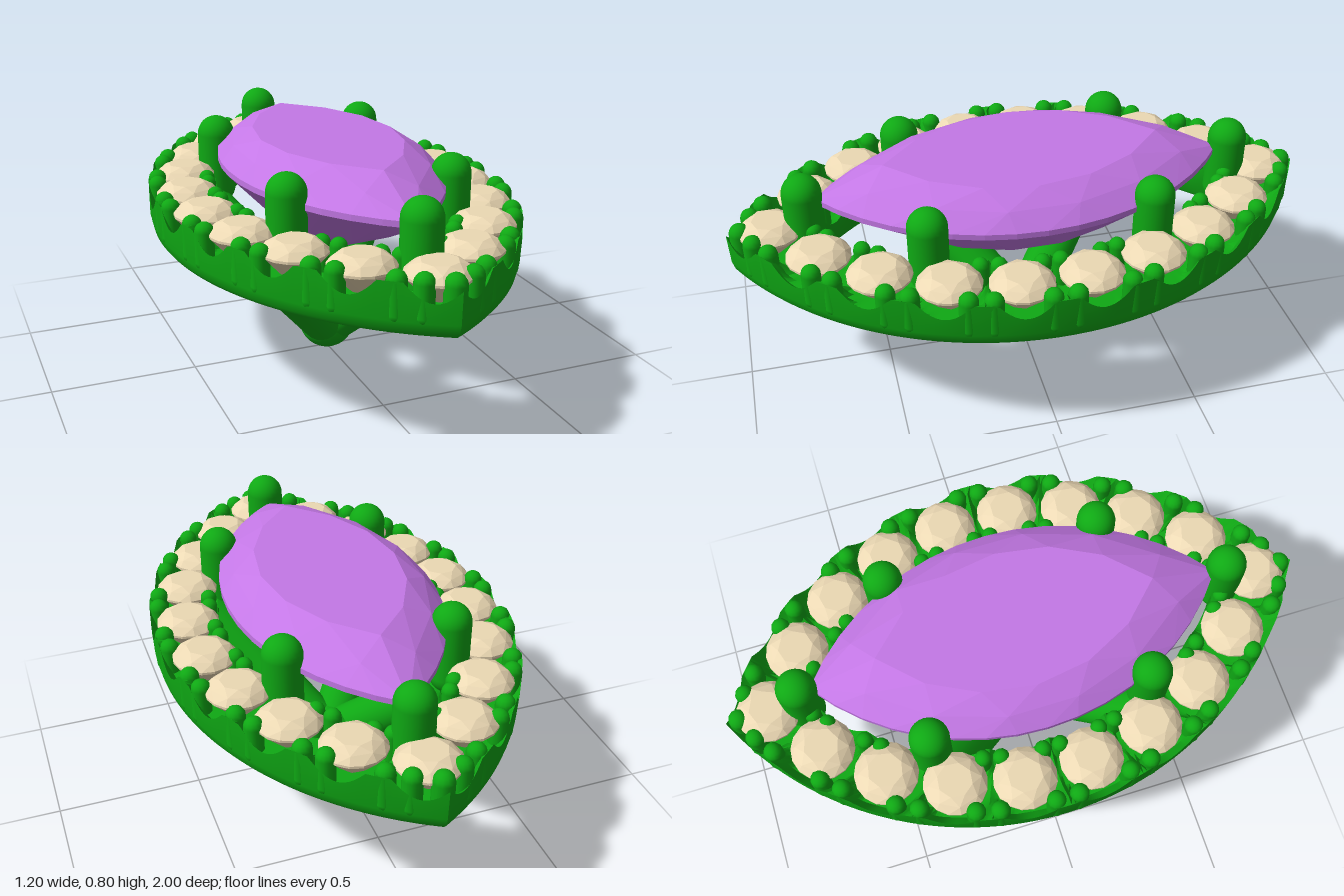
import * as THREE from 'three';
import { toCreasedNormals } from 'three/addons/utils/BufferGeometryUtils.js';
import { ConvexGeometry } from 'three/addons/geometries/ConvexGeometry.js';

const green = new THREE.MeshStandardMaterial({ color: 0x0fa914 });
const violet = new THREE.MeshStandardMaterial({ color: 0xc478e6, flatShading: true });
const cream = new THREE.MeshStandardMaterial({ color: 0xecd9b4, flatShading: true });

// Halo: concentric arcs on both sides, meeting in points at +z and -z
const C = 0.533, OUTER = 1.133, INNER = 0.898, MID = 1.008;

// Point on a marquise outline made of two arcs; u runs once around
function marquise(R, c, u) {
  u = ((u % 1) + 1) % 1;
  const s = u < 0.5 ? 1 : -1;
  const a = ((u % 0.5) * 4 - 1) * Math.acos(c / R);
  return [s * (R * Math.cos(a) - c), s * R * Math.sin(a)];
}

const STONES = 18;
const stoneSpots = Array.from({ length: STONES }, (_, i) => marquise(MID, C, i / STONES));

// Top of the halo, scooped out around each stone
function topHeight(x, z) {
  const d = Math.min(...stoneSpots.map(([sx, sz]) => Math.hypot(x - sx, z - sz)));
  return Math.min(0.62, 0.53 + Math.max(0, d - 0.11) * 2.2);
}

function haloGeometry() {
  // [arc radius, height]; null height follows the scooped top
  const section = [[0.905, 0.45], [1.095, 0.45], [1.112, 0.456], [1.123, 0.47], [1.13, 0.5], [OUTER, null]];
  for (let k = 1; k <= 8; k++) section.push([OUTER + (INNER - OUTER) * k / 8, null]);
  section.push([INNER, 0.46], [0.905, 0.45]);
  const n = 324, m = section.length, pos = [], idx = [];
  for (let i = 0; i <= n; i++) {
    for (const [R, y] of section) {
      const [x, z] = marquise(R, C, i / n);
      pos.push(x, y ?? topHeight(x, z), z);
    }
  }
  for (let i = 0; i < n; i++) {
    for (let j = 0; j < m - 1; j++) {
      const a = i * m + j, b = a + 1, c = a + m, d = c + 1;
      idx.push(a, b, c, b, d, c);
    }
  }
  const g = new THREE.BufferGeometry();
  g.setAttribute('position', new THREE.Float32BufferAttribute(pos, 3));
  g.setIndex(idx);
  return toCreasedNormals(g, 0.7);
}

// Faceted gem: hull of rings [scale, height, count, turn] plus a culet
function gemGeometry(outline, rings, culet) {
  const pts = [new THREE.Vector3(0, culet, 0)];
  for (const [s, y, n, turn] of rings) {
    for (let i = 0; i < n; i++) {
      const [x, z] = outline((i + turn) / n);
      pts.push(new THREE.Vector3(x * s, y, z * s));
    }
  }
  return new ConvexGeometry(pts);
}

// Round-ended post standing from y0 to y1
function post(name, x, z, r, y0, y1, segs) {
  const g = new THREE.CapsuleGeometry(r, y1 - y0 - 2 * r, Math.ceil(segs / 3), segs);
  const mesh = new THREE.Mesh(g, green);
  mesh.name = name;
  mesh.position.set(x, (y0 + y1) / 2, z);
  return mesh;
}

export function createModel() {
  const model = new THREE.Group();
  model.name = 'pendantSetting';
  const add = (name, geometry, material, parent = model) => {
    const mesh = new THREE.Mesh(geometry, material);
    mesh.name = name;
    parent.add(mesh);
    return mesh;
  };
  const group = (name) => {
    const g = new THREE.Group();
    g.name = name;
    model.add(g);
    return g;
  };

  add('halo', haloGeometry(), green);

  // Centre stone
  add('centreStone', gemGeometry((u) => marquise(0.868, 0.513, u), [
    [0.67, 0.8, 12, 0], [0.87, 0.757, 12, 0.5], [1, 0.705, 32, 0],
    [1, 0.685, 32, 0], [0.62, 0.54, 12, 0.5], [0.22, 0.44, 8, 0],
  ], 0.405), violet);

  // Small round stones along the halo
  const stones = group('haloStones');
  const circle = (u) => [0.106 * Math.cos(u * Math.PI * 2), 0.106 * Math.sin(u * Math.PI * 2)];
  const stoneGeo = gemGeometry(circle, [
    [0.55, 0.647, 8, 0], [0.83, 0.632, 8, 0.5], [1, 0.61, 16, 0], [1, 0.602, 16, 0], [0.5, 0.545, 8, 0.5],
  ], 0.5);
  stoneSpots.forEach(([x, z], i) => {
    const stone = add('haloStone', stoneGeo, cream, stones);
    stone.position.set(x, 0, z);
    stone.rotation.y = i * 0.7;
  });

  // Pairs of bead prongs between the stones, on both rims
  const beads = group('beadProngs');
  for (let i = 0; i < STONES; i++) {
    for (const [R, r] of [[OUTER - 0.031, 0.032], [INNER + 0.03, 0.028]]) {
      for (const side of [-1, 1]) {
        const [x, z] = marquise(R, C, (i + 0.5 + side * 0.15) / STONES);
        beads.add(post('beadProng', x, z, r, 0.48, 0.645, 12));
      }
    }
  }
  for (const s of [-1, 1]) beads.add(post('tipProng', 0, s * 0.955, 0.035, 0.48, 0.645, 12));

  // Six large prongs holding the centre stone
  const prongs = group('mainProngs');
  for (const sz of [-1, 1]) {
    for (const [x, z] of [[0, 0.74], [0.285, 0.375], [-0.285, 0.375]]) {
      prongs.add(post('mainProng', x, z * sz, 0.066, 0.47, 0.8, 24));
    }
  }

  // Four slanted legs meeting in a rounded foot
  const legs = group('legs');
  const foot = new THREE.Vector3(0, 0.085, 0);
  for (const sx of [-1, 1]) {
    for (const sz of [-1, 1]) {
      const dir = new THREE.Vector3(sx * 0.345, 0.5, sz * 0.37).sub(foot);
      const leg = add('leg', new THREE.CylinderGeometry(0.08, 0.08, dir.length(), 24), green, legs);
      leg.position.copy(foot).addScaledVector(dir, 0.5);
      leg.quaternion.setFromUnitVectors(new THREE.Vector3(0, 1, 0), dir.normalize());
    }
  }
  add('foot', new THREE.SphereGeometry(0.1, 32, 20), green, legs).position.y = 0.1;

  return model;
}
